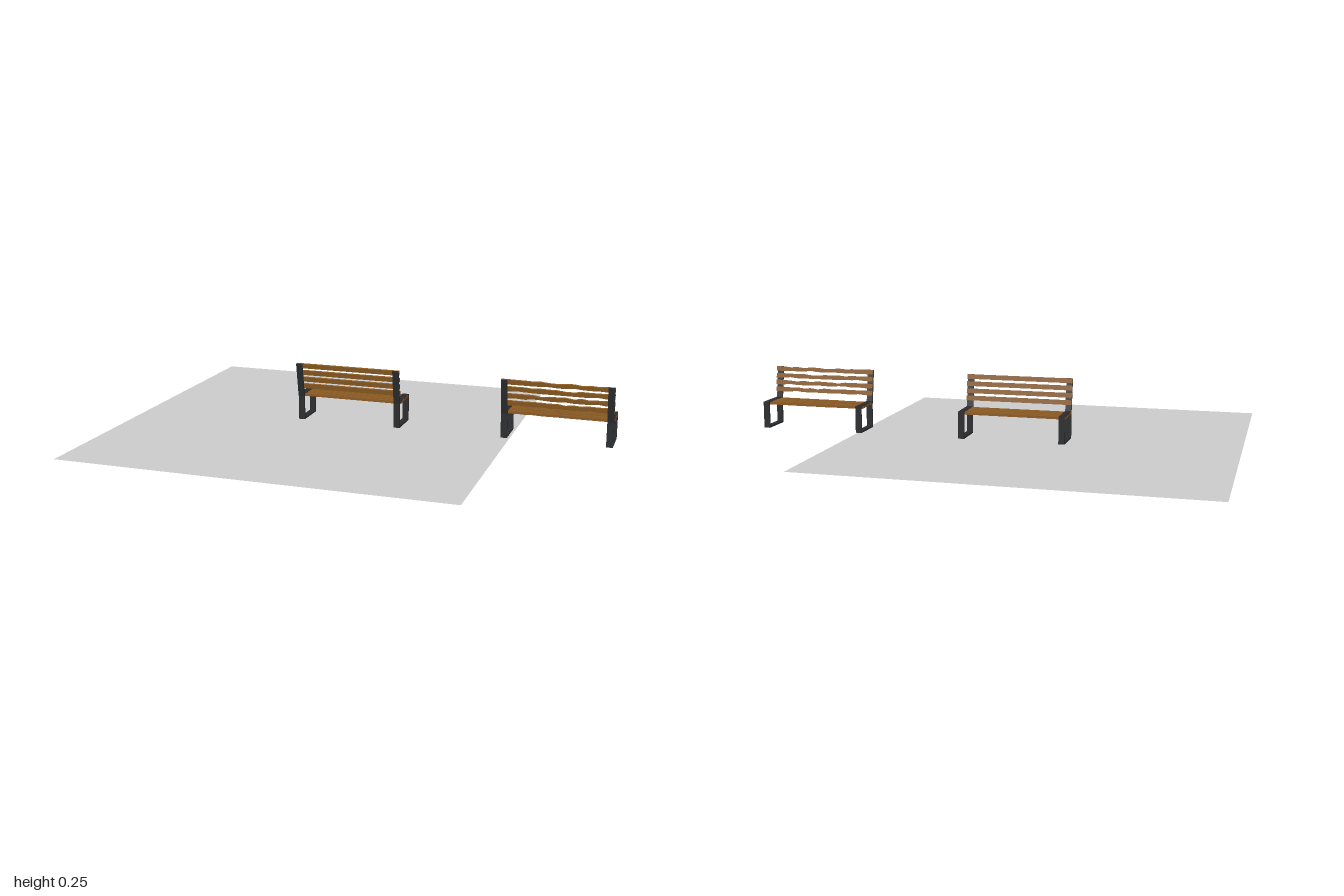
import * as THREE from 'three';

const wood = new THREE.MeshStandardMaterial({ color: 0x8a5a22, flatShading: true });
const iron = new THREE.MeshStandardMaterial({ color: 0x2a2b2d, flatShading: true });
const grey = new THREE.MeshStandardMaterial({ color: 0xcccccc, side: THREE.DoubleSide });

const LENGTH = 0.445, STRIP = 0.026, FRAME_X = 0.209;
const LEAN = 0.155; // backrest slope in radians

function seeded(seed) {
  let s = seed;
  return () => (s = (s * 16807) % 2147483647) / 2147483647;
}

function add(group, geometry, material, name) {
  const mesh = new THREE.Mesh(geometry, material);
  mesh.name = name;
  group.add(mesh);
  return mesh;
}

// Plank along x, width along y, thickness along z; worn planks get chipped edges
function plank(width, thick, random) {
  if (!random) return new THREE.BoxGeometry(LENGTH, width, thick);
  const n = 14, pts = [];
  for (const side of [-1, 1]) {
    for (let i = 0; i <= n; i++) {
      const t = i / n - 0.5;
      const inner = i > 1 && i < n - 1;
      const chip = inner ? random() ** 3 * width * 0.28 : 0;
      pts.push(new THREE.Vector2(-side * t * LENGTH, side * (width / 2 - chip)));
    }
  }
  const g = new THREE.ExtrudeGeometry(new THREE.Shape(pts), { depth: thick, bevelEnabled: false });
  return g.translate(0, 0, -thick / 2);
}

// Flat-strip loop: floor bar, two uprights and seat bar, drawn in the z-y plane
function legFrame() {
  const rect = (z0, y0, z1, y1) => [[z0, y0], [z1, y0], [z1, y1], [z0, y1]].map(p => new THREE.Vector2(...p));
  const shape = new THREE.Shape(rect(-0.122, 0.008, 0.01, 0.12));
  shape.holes.push(new THREE.Path(rect(-0.116, 0.014, 0.004, 0.114)));
  const g = new THREE.ExtrudeGeometry(shape, { depth: STRIP, bevelEnabled: false });
  return g.translate(0, 0, -STRIP / 2).rotateY(-Math.PI / 2);
}

function bench(name, x, random) {
  const group = new THREE.Group();
  group.name = name;
  group.position.x = x;

  for (const side of [-1, 1]) {
    add(group, legFrame(), iron, 'legFrame').position.x = side * FRAME_X;
    const post = add(group, new THREE.BoxGeometry(STRIP, 0.144, 0.006), iron, 'backPost');
    post.position.set(side * FRAME_X, 0.181, 0.02);
    post.rotation.x = LEAN;
  }

  // Seat slats
  for (let i = 0; i < 5; i++) {
    const slat = add(group, plank(0.021, 0.010, random), wood, 'seatSlat');
    slat.position.set(0, 0.1135, -0.106 + i * 0.0245);
    slat.rotation.x = -Math.PI / 2;
    if (random) slat.rotation.y = (random() - 0.5) * 0.008;
  }

  // Back slats, on the sitting side of the posts
  for (let i = 0; i < 4; i++) {
    const y = 0.155 + i * 0.0293;
    const slat = add(group, plank(0.0195, 0.009, random), wood, 'backSlat');
    slat.position.set(0, y, 0.0125 + (y - 0.181) * Math.tan(LEAN));
    slat.rotation.x = LEAN;
    if (random) slat.rotation.z = (random() - 0.5) * 0.006;
  }
  return group;
}

export function createModel() {
  const model = new THREE.Group();
  model.name = 'parkBenches';

  const ground = add(model, new THREE.PlaneGeometry(1.585, 1.59), grey, 'groundPlane');
  ground.rotation.x = -Math.PI / 2;
  ground.position.set(-0.2075, 0, -0.003);

  model.add(bench('bench', -0.09, null));
  model.add(bench('wornBench', 0.775, seeded(71)));
  return model;
}
